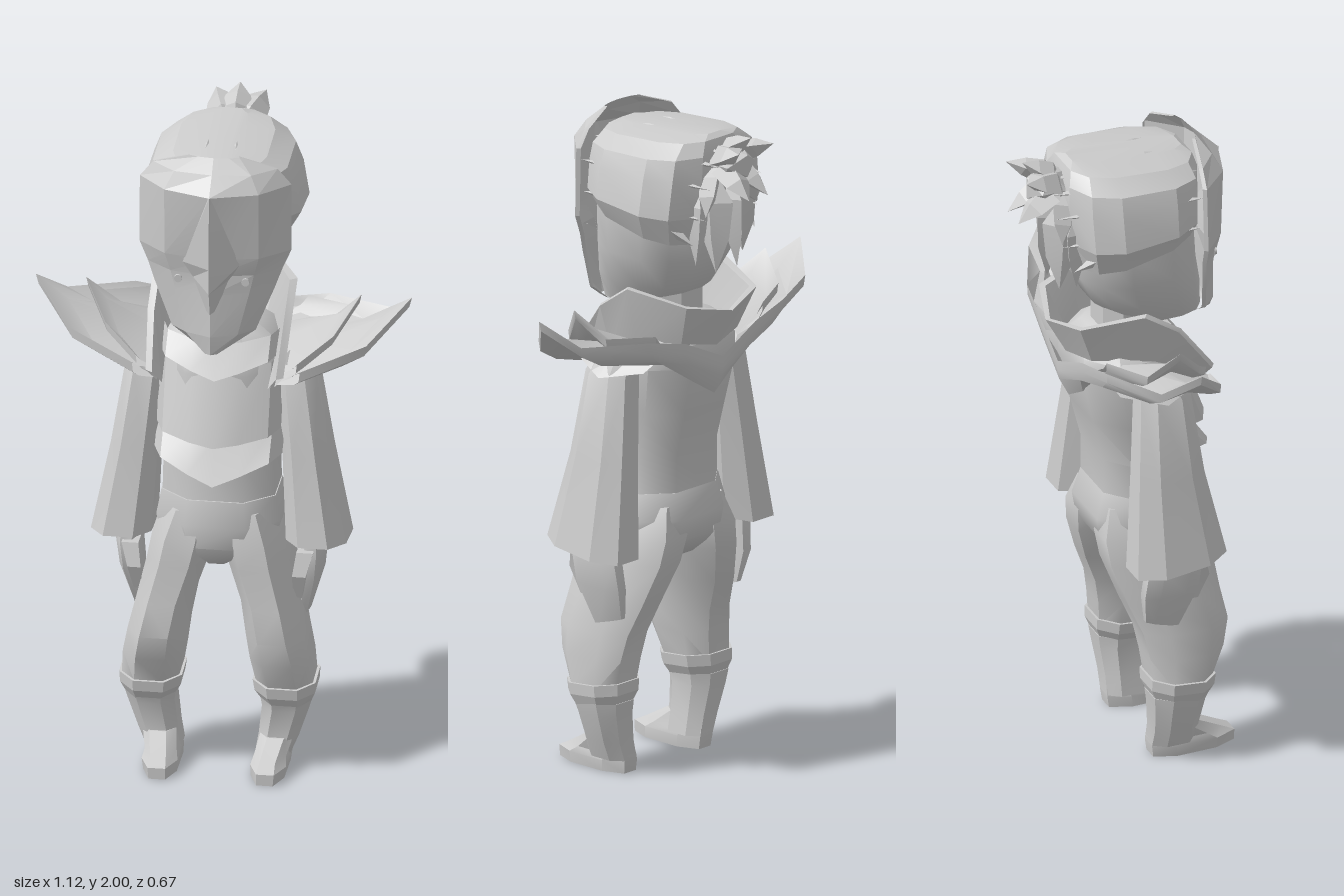
import * as THREE from 'three';
import { toCreasedNormals } from 'three/addons/utils/BufferGeometryUtils.js';

const grey = new THREE.MeshStandardMaterial({ color: 0xcccccc, side: THREE.DoubleSide });
grey.name = 'plain grey';

// Skin a list of equal-length point rows; closed joins row ends and caps first and last rows
function loft(rows, { closed = true, crease = 0.6 } = {}) {
  const n = rows[0].length, idx = [];
  for (let i = 0; i < rows.length - 1; i++) {
    for (let j = 0; j < (closed ? n : n - 1); j++) {
      const k = (j + 1) % n, a = i * n + j, b = i * n + k;
      idx.push(a, a + n, b, b, a + n, b + n);
    }
  }
  if (closed) {
    const last = (rows.length - 1) * n;
    for (let j = 1; j < n - 1; j++) idx.push(0, j, j + 1, last, last + j + 1, last + j);
  }
  const g = new THREE.BufferGeometry();
  g.setAttribute('position', new THREE.Float32BufferAttribute(rows.flat(2), 3));
  g.setIndex(idx);
  return toCreasedNormals(g, crease);
}

// Horizontal ring filling x0..x1, z0..z1; slope raises y towards +z, p below 1 is boxier
function ring(y, x0, x1, z0, z1, slope = 0, n = 8, p = 0.8) {
  const s = 1 / Math.cos(Math.PI / n);
  const box = (v) => Math.sign(v) * Math.abs(s * v) ** p;
  return Array.from({ length: n }, (_, i) => {
    const a = ((i + 0.5) / n) * Math.PI * 2;
    const dz = ((z1 - z0) / 2) * box(Math.cos(a));
    return [(x0 + x1) / 2 + ((x1 - x0) / 2) * box(Math.sin(a)), y + dz * slope, (z0 + z1) / 2 + dz];
  });
}

// Four-sided lock of hair, thick near a and pointed at b
function lock(a, b, r) {
  const from = new THREE.Vector3(...a), dir = new THREE.Vector3(...b).sub(from), len = dir.length();
  const profile = [[0, 0], [r, 0.3], [r * 0.75, 0.65], [0, 1]].map(([x, t]) => new THREE.Vector2(x, t * len));
  const g = new THREE.LatheGeometry(profile, 4).scale(1, 1, 0.65);
  g.applyQuaternion(new THREE.Quaternion().setFromUnitVectors(new THREE.Vector3(0, 1, 0), dir.normalize()));
  return toCreasedNormals(g.translate(...a), 0.2);
}

const mirrorRow = (half) => [...half.map(([x, y, z]) => [-x, y, z]), ...half.slice(0, -1).reverse()];

export function createModel() {
  const model = new THREE.Group();
  const add = (name, geometry, parent = model) => {
    const m = new THREE.Mesh(geometry, grey);
    m.name = name;
    parent.add(m);
  };
  const sym = (y, w, ...rest) => ring(y, -w, w, ...rest);

  // Torso, neck and pelvis
  add('torso', loft([
    sym(0.83, 0.168, -0.075, 0.208), sym(0.98, 0.165, -0.075, 0.198), sym(1.12, 0.172, -0.11, 0.195),
    sym(1.27, 0.19, -0.145, 0.185), sym(1.34, 0.18, -0.14, 0.165), sym(1.4, 0.1, -0.09, 0.12),
  ], { crease: 0.9 }));
  add('neck', loft([sym(1.36, 0.09, -0.06, 0.12), sym(1.48, 0.09, -0.06, 0.12)]));
  add('pelvis', loft([
    sym(0.87, 0.17, -0.075, 0.21), sym(0.79, 0.185, -0.1, 0.222), sym(0.72, 0.17, -0.09, 0.222), sym(0.66, 0.045, -0.04, 0.19),
  ], { crease: 1.1 }));

  // Overlapping pointed chest plates: [top y, side bottom y, centre bottom y, half width, top z, bottom z]
  for (const [t, s, c, w, zt, zb] of [
    [1.38, 1.32, 1.27, 0.18, 0.17, 0.23], [1.3, 1.09, 1.065, 0.185, 0.185, 0.262], [1.09, 1.01, 0.945, 0.19, 0.2, 0.272],
  ]) {
    const edge = (ys, yc, z) => mirrorRow([[w, ys, z - 0.13], [w * 0.85, ys, z - 0.05], [w * 0.4, (ys + yc) / 2, z - 0.01], [0, yc, z]]);
    add('chestPlate', loft([edge(t, t - 0.02, zt), edge(s, c, zb), edge(s + 0.01, c + 0.01, zb - 0.06)], { closed: false }));
  }

  // Standing collar, sloping down to open fronts
  const collarLow = [[0.175, 1.25, 0.2], [0.18, 1.3, 0.1], [0.175, 1.35, 0], [0.12, 1.35, -0.13], [0, 1.33, -0.16]];
  const collarTop = [[0.205, 1.29, 0.22], [0.215, 1.44, 0.11], [0.215, 1.515, 0], [0.15, 1.48, -0.18], [0, 1.45, -0.225]];
  const thin = (row) => row.map(([x, y, z]) => [x * 0.9, y, z + 0.015]);
  add('collar', loft([collarLow, collarTop, thin(collarTop), thin(collarLow)].map(mirrorRow), { closed: false, crease: 0.4 }));

  // Dished shoulder mantle with an upswept point at each side
  const roots = [[0.18, 1.28, 0.18], [0.18, 1.31, 0.11], [0.17, 1.33, 0.03], [0.16, 1.34, -0.06], [0.13, 1.32, -0.12], [0.08, 1.26, -0.14], [0, 1.21, -0.15]];
  const outer = [[0.25, 1.3, 0.195], [0.44, 1.375, 0.145], [0.56, 1.49, 0.03], [0.48, 1.41, -0.065], [0.29, 1.4, -0.155], [0.15, 1.37, -0.175], [0, 1.3, -0.185]];
  const inner = [[0.24, 1.32, 0.185], [0.34, 1.39, 0.12], [0.41, 1.49, 0.03], [0.37, 1.41, -0.06], [0.23, 1.4, -0.13]];
  const plateRows = (rim, thick) => {
    const mid = rim.map(([x, y, z], i) => {
      const [a, b, c] = roots[i], drop = 0.07 * Math.hypot(x - a, z - c);
      return [a + (x - a) * 0.75, b + (y - b) * 0.7 - drop, c + (z - c) * 0.88];
    });
    const top = [roots.slice(0, rim.length), mid, rim];
    const under = top.map((r) => r.map(([x, y, z]) => [x * 0.985, y - thick, z]));
    return [...top, ...under.reverse()];
  };
  add('shoulderMantle', loft(plateRows(outer, 0.032).map(mirrorRow), { closed: false, crease: 0.7 }));

  // Left half, mirrored for the right
  for (const side of [1, -1]) {
    const half = new THREE.Group();
    half.name = side > 0 ? 'leftSide' : 'rightSide';
    half.scale.x = side;
    model.add(half);

    add('innerShoulderPlate', loft(plateRows(inner, 0.028), { closed: false, crease: 0.7 }), half);

    // Flared sleeve with a hollow cuff
    add('sleeve', loft([
      ring(1.32, 0.16, 0.245, -0.02, 0.1), ring(1.25, 0.165, 0.285, -0.03, 0.13),
      ring(1.0, 0.185, 0.325, -0.05, 0.158), ring(0.72, 0.2, 0.38, -0.075, 0.21, 0.12),
      ring(0.725, 0.215, 0.365, -0.06, 0.195, 0.12), ring(0.82, 0.23, 0.34, -0.03, 0.16),
    ], { crease: 0.5 }), half);
    // Pointed flap over the top of the arm
    add('shoulderFlap', loft([
      [[0.18, 1.32, 0.16], [0.23, 1.33, 0.04], [0.18, 1.33, -0.12]],
      [[0.25, 1.28, 0.16], [0.295, 1.25, 0.04], [0.24, 1.28, -0.09]],
    ], { closed: false }), half);

    // Hand with thumb
    add('hand', loft([
      ring(0.8, 0.24, 0.3, 0.02, 0.11), ring(0.69, 0.24, 0.31, -0.02, 0.15),
      ring(0.6, 0.235, 0.3, -0.03, 0.14), ring(0.49, 0.23, 0.265, -0.015, 0.09, -0.3),
    ]), half);
    add('thumb', loft([
      ring(0.7, 0.235, 0.285, 0.1, 0.165, 0, 4), ring(0.63, 0.225, 0.265, 0.13, 0.185, 0, 4), ring(0.55, 0.225, 0.25, 0.12, 0.155, 0, 4),
    ]), half);

    // Trouser leg, cuff, boot and foot
    add('trouserLeg', loft([
      ring(0.83, 0.01, 0.155, -0.07, 0.2), ring(0.74, 0.01, 0.195, -0.095, 0.228), ring(0.66, 0.03, 0.21, -0.085, 0.235),
      ring(0.54, 0.072, 0.238, -0.045, 0.248), ring(0.44, 0.09, 0.262, -0.005, 0.265),
      ring(0.36, 0.1, 0.278, 0.01, 0.245), ring(0.27, 0.115, 0.285, 0.02, 0.205),
    ], { crease: 0.9 }), half);
    add('trouserCuff', loft([
      ring(0.285, 0.105, 0.292, 0.01, 0.215, -0.1), ring(0.25, 0.11, 0.29, 0.01, 0.21, -0.1), ring(0.215, 0.13, 0.275, 0.025, 0.19, -0.1),
    ], { crease: 0.3 }), half);
    add('bootShaft', loft([
      ring(0.23, 0.125, 0.28, 0.02, 0.2), ring(0.19, 0.13, 0.27, 0.025, 0.185), ring(0.1, 0.12, 0.24, 0.035, 0.175), ring(0.04, 0.11, 0.215, 0.035, 0.18),
    ]), half);
    add('foot', loft([
      ring(0, 0.11, 0.21, 0.04, 0.3), ring(0.035, 0.108, 0.215, 0.035, 0.3), ring(0.055, 0.115, 0.21, 0.035, 0.26), ring(0.1, 0.125, 0.225, 0.04, 0.18),
    ], { crease: 0.4 }), half);

    // Eye stud on the mask
    add('eye', new THREE.CylinderGeometry(0.012, 0.012, 0.009, 12).rotateX(Math.PI / 2).translate(0.1, 1.62, 0.274), half);

    // Broad locks combed back over the crown and sides: [front, back, thickness]
    for (const [a, b, r] of [
      [[0.2, 1.87, 0.2], [0.11, 1.85, -0.24], 0.03], [[0.14, 1.93, 0.2], [0.07, 1.91, -0.24], 0.045],
      [[0.05, 1.95, 0.2], [0.03, 1.94, -0.22], 0.04], [[0.215, 1.78, 0.18], [0.11, 1.75, -0.22], 0.035],
      [[0.2, 1.8, 0.02], [0.13, 1.67, -0.19], 0.05],
    ]) add('crownLock', lock(a, b, r), half);

    // Locks hanging from the topknot
    for (const [a, b, r] of [
      [[0.02, 1.92, -0.18], [0.075, 1.97, -0.32], 0.055], [[0.02, 1.93, -0.18], [0.04, 1.82, -0.33], 0.055],
      [[0.04, 1.9, -0.17], [0.11, 1.76, -0.22], 0.055], [[0.08, 1.86, -0.16], [0.1, 1.6, -0.17], 0.055],
      [[0.03, 1.88, -0.18], [0.045, 1.57, -0.2], 0.06],
    ]) add('topknotLock', lock(a, b, r), half);
  }

  // Head and hair cap
  add('head', loft([
    sym(1.41, 0.08, 0.02, 0.26, 0, 12), sym(1.5, 0.14, -0.09, 0.25, 0, 12), sym(1.6, 0.18, -0.14, 0.23, 0, 12),
    sym(1.72, 0.2, -0.155, 0.22, 0, 12), sym(1.86, 0.2, -0.15, 0.21, 0, 12),
  ], { crease: 0.8 }));
  add('hairCap', loft([
    sym(1.7, 0.205, -0.16, 0.2, 0.22, 12, 0.65), sym(1.77, 0.24, -0.185, 0.215, 0.1, 12, 0.65), sym(1.87, 0.222, -0.19, 0.222, 0, 12, 0.65),
    sym(1.925, 0.2, -0.185, 0.225, -0.04, 12, 0.65), sym(1.96, 0.14, -0.17, 0.22, -0.07, 12, 0.65), sym(1.973, 0.06, -0.15, 0.2, -0.07, 12, 0.65),
  ], { crease: 0.3 }));
  add('topknot', new THREE.IcosahedronGeometry(0.07, 0).scale(1, 0.9, 1.1).translate(0, 1.91, -0.22));
  add('topknotLock', lock([0, 1.93, -0.18], [0, 2.0, -0.3], 0.05));

  // Face mask: [y, half width, edge z, quarter z, centre z]
  const maskRows = [
    [2.0, 0.075, 0.225, 0.235, 0.24], [1.96, 0.185, 0.2, 0.26, 0.275], [1.91, 0.226, 0.195, 0.285, 0.33],
    [1.7, 0.226, 0.2, 0.278, 0.305], [1.64, 0.2, 0.205, 0.265, 0.295], [1.58, 0.178, 0.215, 0.265, 0.3],
    [1.45, 0.125, 0.235, 0.28, 0.31], [1.39, 0.03, 0.26, 0.295, 0.305],
  ].map(([y, w, ze, zq, zc]) => mirrorRow([[w * 0.96, y, ze - 0.01], [w, y, ze], [w * 0.62, y, zq], [0, y, zc]]));
  add('mask', loft(maskRows, { closed: false, crease: 0.15 }));

  // Long wedge nose
  add('nose', loft([
    mirrorRow([[0.004, 1.91, 0.328], [0, 1.91, 0.333]]), mirrorRow([[0.085, 1.68, 0.285], [0, 1.68, 0.337]]),
    mirrorRow([[0.055, 1.63, 0.28], [0, 1.6, 0.337]]), mirrorRow([[0.012, 1.53, 0.3], [0, 1.525, 0.315]]),
  ], { crease: 0.15 }));

  return model;
}
